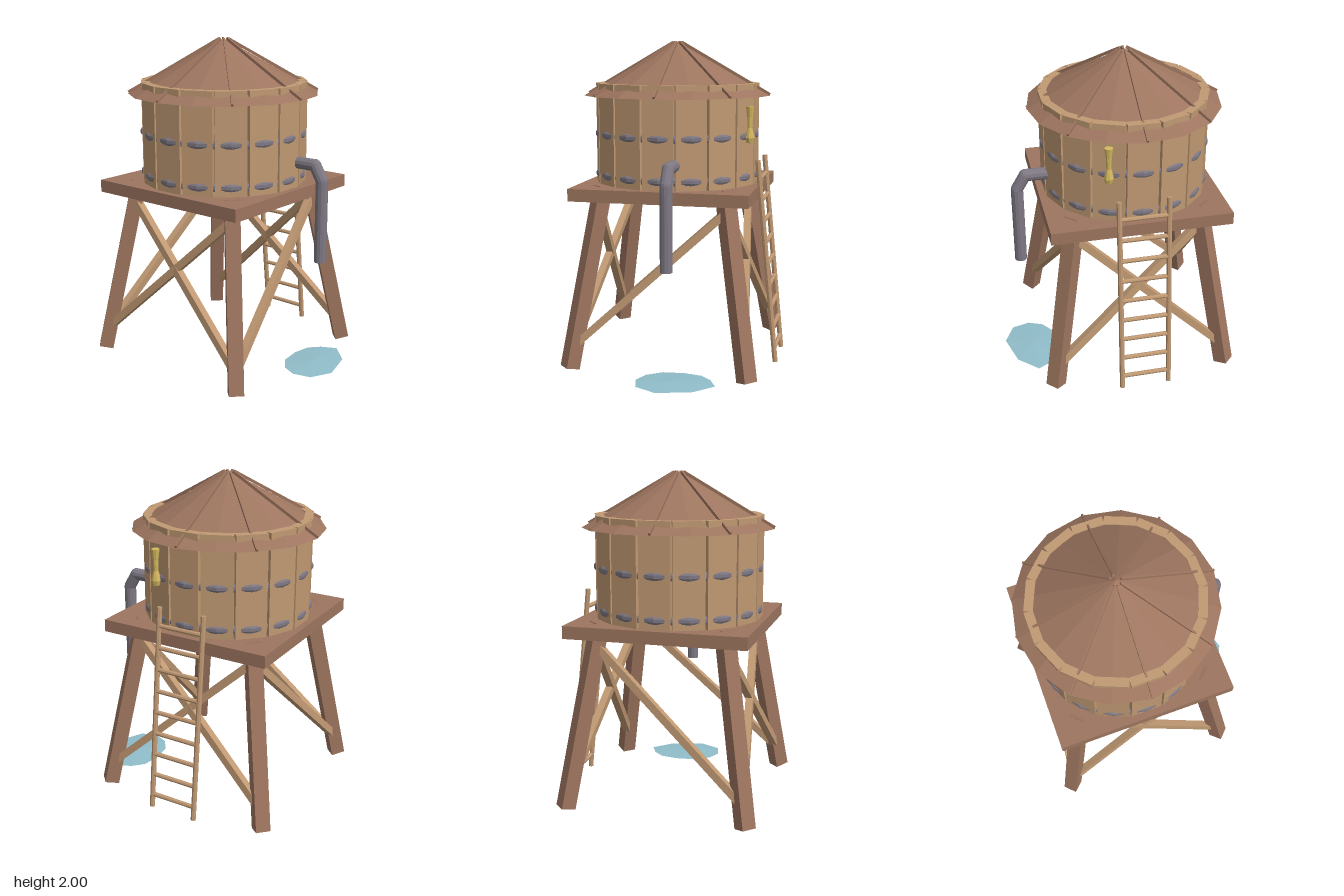
import * as THREE from 'three';

const mat = (name, color) => {
  const m = new THREE.MeshStandardMaterial({ color, flatShading: true });
  m.name = name;
  return m;
};

export function createModel() {
  const darkWood = mat('dark wood', 0x9d755f);
  const lightWood = mat('light wood', 0xc09973);
  const metal = mat('grey metal', 0x7e7883);
  const brass = mat('brass', 0xd4b860);
  const water = mat('water', 0x90bdc9);

  const model = new THREE.Group();
  model.name = 'waterTower';
  // Everything of the tower is placed around its own axis
  const tower = new THREE.Group();
  tower.name = 'tower';
  tower.position.set(-0.099, 0, 0.034);
  model.add(tower);

  const V = (x, y, z) => new THREE.Vector3(x, y, z);
  const add = (parent, name, geo, material, x = 0, y = 0, z = 0) => {
    const m = new THREE.Mesh(geo, material);
    m.name = name;
    m.position.set(x, y, z);
    parent.add(m);
    return m;
  };
  // Square beam from a to b; "side" is a horizontal hint for its faces
  const beam = (parent, name, a, b, w, d, material, side) => {
    const dir = b.clone().sub(a);
    const m = add(parent, name, new THREE.BoxGeometry(w, dir.length(), d), material);
    const yAxis = dir.clone().normalize();
    const zAxis = side.clone().addScaledVector(yAxis, -side.dot(yAxis)).normalize();
    const xAxis = yAxis.clone().cross(zAxis);
    m.quaternion.setFromRotationMatrix(new THREE.Matrix4().makeBasis(xAxis, yAxis, zAxis));
    m.position.copy(a).add(b).multiplyScalar(0.5);
    return m;
  };
  const rod = (parent, name, a, b, r, sides, material) => {
    const dir = b.clone().sub(a);
    const m = add(parent, name, new THREE.CylinderGeometry(r, r, dir.length(), sides), material);
    m.quaternion.setFromUnitVectors(V(0, 1, 0), dir.clone().normalize());
    m.position.copy(a).add(b).multiplyScalar(0.5);
    return m;
  };

  // Platform
  add(tower, 'platform', new THREE.BoxGeometry(1.084, 0.075, 1.084), darkWood, 0, 1.094, 0);

  // Splayed legs, turned 45 degrees, their tops just piercing the platform
  const spread = y => 0.546 - 0.161 * (y - 0.028) / 1.032;
  const onLeg = (sx, y, sz) => V(sx * spread(y), y, sz * spread(y));
  for (const sx of [-1, 1]) for (const sz of [-1, 1]) {
    beam(tower, 'leg', onLeg(sx, 0.028, sz), onLeg(sx, 1.126, sz), 0.088, 0.088, darkWood, V(sx, 0, sz));
  }

  // Cross braces front and back, single diagonals on the sides
  const low = 0.158, high = 1.005;
  for (const s of [-1, 1]) {
    for (const d of [-1, 1]) {
      beam(tower, 'crossBrace', onLeg(-d, low, s), onLeg(d, high, s), 0.045, 0.045, lightWood, V(0, 0, s));
    }
    beam(tower, 'sideBrace', onLeg(s, low, 1), onLeg(s, high, -1), 0.045, 0.045, lightWood, V(s, 0, 0));
  }

  // Tank staves
  const tank = new THREE.Group();
  tank.name = 'tank';
  tower.add(tank);
  const staveGeo = new THREE.BoxGeometry(0.185, 0.63, 0.052);
  for (let i = 0; i < 16; i++) {
    const a = i * Math.PI / 8;
    const stave = add(tank, 'stave', staveGeo, lightWood, 0.475 * Math.sin(a), 1.426, 0.475 * Math.cos(a));
    stave.rotation.y = a;
  }
  // Hoops that show at the middle of each stave
  const hoopProfile = [[0.478, -0.025], [0.5, -0.024], [0.508, -0.019], [0.513, -0.009],
    [0.513, 0.009], [0.508, 0.019], [0.5, 0.024], [0.478, 0.025]];
  const hoopGeo = new THREE.LatheGeometry(hoopProfile.map(p => new THREE.Vector2(...p)), 16);
  for (const y of [1.185, 1.433]) add(tank, 'hoop', hoopGeo, metal, 0, y, 0);

  // Conical roof with eight ribs
  add(tower, 'roof', new THREE.ConeGeometry(0.582, 0.325, 16), darkWood, 0, 1.8285, 0);
  for (let i = 0; i < 8; i++) {
    const a = i * Math.PI / 4, c = Math.cos(a), s = Math.sin(a);
    beam(tower, 'roofRib', V(0.03 * c, 1.988, 0.03 * s), V(0.58 * c, 1.674, 0.58 * s),
      0.012, 0.017, darkWood, V(c, 0, s));
  }

  // Brass fitting hung on a back stave
  const profile = [[0, 1.392], [0.021, 1.396], [0.029, 1.425], [0.022, 1.455],
    [0.014, 1.485], [0.017, 1.55], [0.025, 1.612], [0, 1.612]];
  add(tower, 'brassFitting',
    new THREE.LatheGeometry(profile.map(p => new THREE.Vector2(...p)), 8), brass, 0.197, 0, -0.49);

  // Ladder leaning on the back
  const ladder = new THREE.Group();
  ladder.name = 'ladder';
  model.add(ladder);
  const railZ = y => -0.627 + 0.127 * (y - 0.025) / 1.26;
  const railX = [-0.247, 0.048];
  for (const x of railX) {
    rod(ladder, 'rail', V(x, 0.025, railZ(0.025)), V(x, 1.285, railZ(1.285)), 0.016, 8, lightWood);
  }
  for (let i = 0; i < 9; i++) {
    const y = 0.107 + i * 0.1333;
    rod(ladder, 'rung', V(railX[0], y, railZ(y)), V(railX[1], y, railZ(y)), 0.0135, 8, lightWood);
  }

  // Outlet pipe with a chamfered elbow
  const pipe = new THREE.Group();
  pipe.name = 'outletPipe';
  model.add(pipe);
  const path = [V(0.32, 1.28, -0.06), V(0.522, 1.28, -0.06), V(0.574, 1.192, -0.06), V(0.574, 0.693, -0.06)];
  for (let i = 0; i < 3; i++) {
    rod(pipe, 'pipeSection', path[i], path[i + 1], 0.037, 12, metal);
    if (i) add(pipe, 'pipeJoint', new THREE.SphereGeometry(0.037, 12, 8), metal, path[i].x, path[i].y, path[i].z);
  }

  // Puddle: a thin irregular lens
  const rim = [[0.53, -0.34], [0.65, -0.225], [0.705, -0.02], [0.64, 0.11], [0.53, 0.138],
    [0.44, 0.1], [0.375, 0.01], [0.36, -0.12], [0.38, -0.23], [0.44, -0.295]];
  const pos = [];
  rim.forEach(([x, z], i) => {
    const [x2, z2] = rim[(i + 1) % rim.length];
    pos.push(0.53, 0.03, -0.09, x2, 0.018, z2, x, 0.018, z);
    pos.push(0.53, 0.0, -0.09, x, 0.018, z, x2, 0.018, z2);
  });
  const puddleGeo = new THREE.BufferGeometry();
  puddleGeo.setAttribute('position', new THREE.Float32BufferAttribute(pos, 3));
  puddleGeo.computeVertexNormals();
  add(model, 'puddle', puddleGeo, water);

  return model;
}
